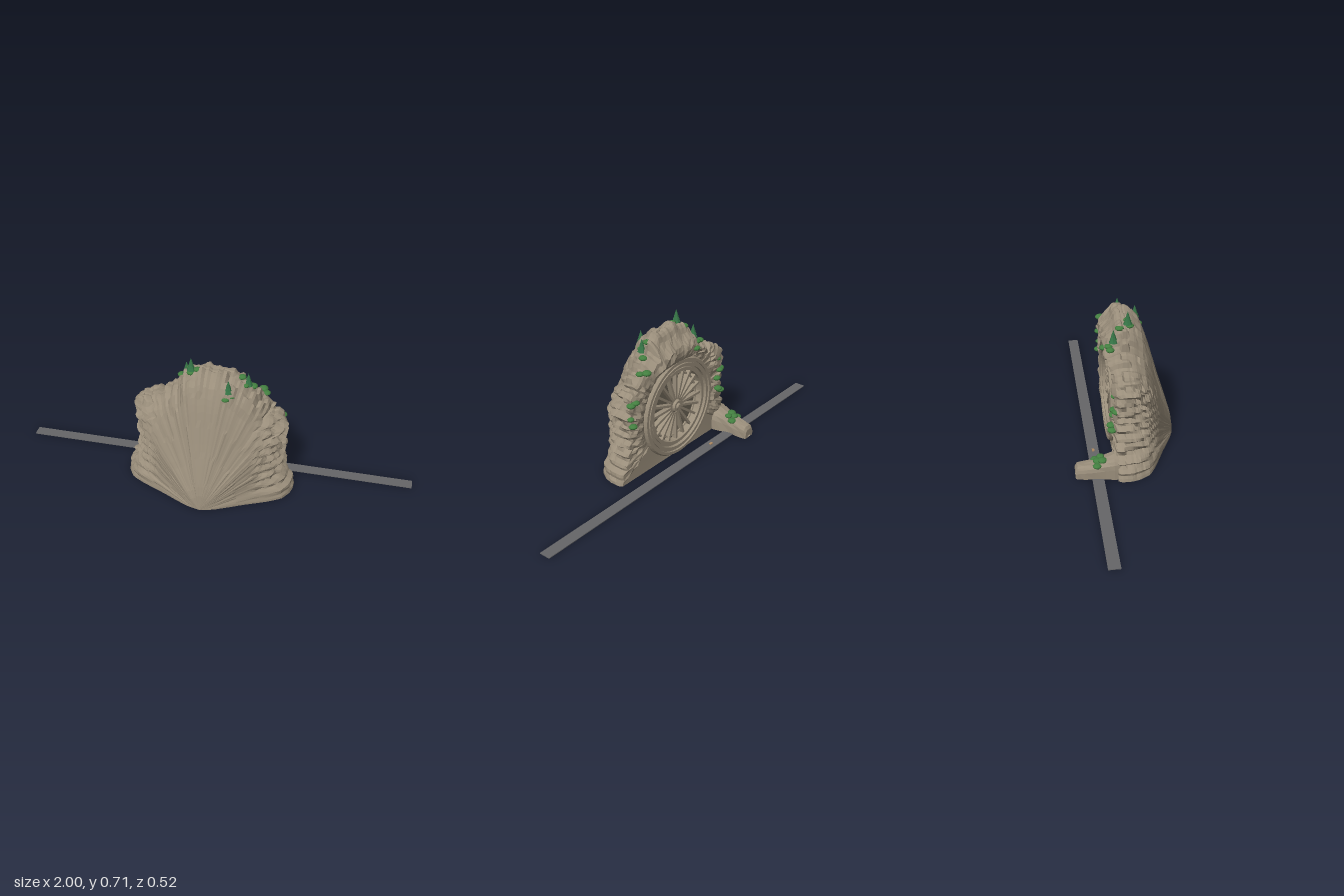
import * as THREE from 'three';

const material = (name, color, side = THREE.FrontSide) => {
  const m = new THREE.MeshStandardMaterial({ color, side, flatShading: true });
  m.name = name;
  return m;
};
const hash = (a, b = 0) => {
  const s = Math.sin(a * 127.1 + b * 311.7) * 43758.5453;
  return s - Math.floor(s) - 0.5;
};
const smooth = THREE.MathUtils.smoothstep;

// Piecewise-linear lookup in a list of [position, value] pairs
function lookup(table, x) {
  let k = 0;
  while (k < table.length - 2 && x > table[k + 1][0]) k++;
  const [[x0, v0], [x1, v1]] = [table[k], table[k + 1]];
  return v0 + ((v1 - v0) * (x - x0)) / (x1 - x0);
}

// Faceted surface through a grid of points
function gridSurface(rows, cols, point) {
  const pos = [];
  for (let i = 0; i < rows; i++) {
    for (let j = 0; j < cols; j++) {
      const a = point(i, j), b = point(i + 1, j), c = point(i + 1, j + 1), d = point(i, j + 1);
      pos.push(...a, ...d, ...c, ...a, ...c, ...b);
    }
  }
  const g = new THREE.BufferGeometry();
  g.setAttribute('position', new THREE.Float32BufferAttribute(pos, 3));
  g.computeVertexNormals();
  return g;
}

// Mountain skyline from the left foot over the summit to the right foot
const COLS = 120, ROWS = 30;
const skyline = new THREE.SplineCurve([
  [0.42, 0], [0.415, 0.04], [0.385, 0.1], [0.375, 0.2], [0.37, 0.3], [0.365, 0.39], [0.33, 0.45],
  [0.26, 0.51], [0.22, 0.56], [0.17, 0.61], [0.12, 0.655], [0.05, 0.668], [-0.04, 0.665], [-0.12, 0.63],
  [-0.16, 0.56], [-0.22, 0.51], [-0.31, 0.47], [-0.37, 0.42], [-0.37, 0.3], [-0.375, 0.2],
  [-0.39, 0.11], [-0.415, 0.06], [-0.425, 0],
].map(([x, y]) => new THREE.Vector2(x, y))).getSpacedPoints(COLS);

// Scale of the skyline at each depth
const taper = [[-0.065, 0.975], [-0.05, 1], [0, 1], [0.04, 0.975], [0.09, 0.9], [0.125, 0.76], [0.15, 0.63],
  [0.18, 0.47], [0.21, 0.33], [0.24, 0.18], [0.255, 0.08], [0.26, 0]];

function mountainPoint(i, j) {
  const o = skyline[j];
  const u = i / ROWS;
  let z = -0.065 + 0.325 * u;
  const k = lookup(taper, z);
  const low = Math.min(1, Math.max(0, o.y) * 14);
  const rough = 0.045 * hash(Math.floor(j / 2), Math.floor(i / 4)) + 0.02 * hash(j, 7);
  const s = k * (1 + rough * low);
  let x = o.x * s;
  const y = Math.max(0, o.y * s);
  // horizontal rock layers on the flanks
  const flank = smooth(Math.abs(x), 0.2, 0.32) * Math.min(1, y * 14) * (1 - smooth(y, 0.42, 0.52));
  x -= Math.sign(x) * flank * 0.026 * (Math.abs(Math.sin(y * 66)) ** 3 + 0.5 * hash(Math.floor(y * 21)));
  z += 0.03 * smooth(y, 0.5, 0.66) * (1 - smooth(u, 0, 0.3));
  return [x, y, z];
}

const WHEEL_Y = 0.256;

// Rocky back face between the wheel opening and the skyline
function backGeometry() {
  const FLOOR = 24, STEPS = 6;
  const loop = skyline.map((_, j) => mountainPoint(0, j));
  const right = loop[COLS], left = loop[0];
  for (let n = 1; n <= FLOOR; n++) {
    const t = n / FLOOR;
    loop.push([right[0] + (left[0] - right[0]) * t, 0, right[2]]);
  }
  const last = loop.length - 1;
  return gridSurface(STEPS, last, (i, jRaw) => {
    const j = jRaw === last ? 0 : jRaw;
    const p = loop[j];
    const t = i / STEPS;
    const a = Math.atan2(p[1] - WHEEL_Y, p[0]);
    const hx = 0.25 * Math.cos(a), hy = WHEEL_Y + 0.25 * Math.sin(a);
    const x = hx + (p[0] - hx) * t, y = hy + (p[1] - hy) * t;
    const mid = Math.sin(Math.PI * t);
    const brow = smooth(y, 0.47, 0.53) * (1 - smooth(y, 0.57, 0.62)) * (1 - smooth(Math.abs(x), 0.15, 0.3));
    const bump = p[1] > 0.01 ? mid * (0.01 + 0.022 * hash(Math.floor(j / 2), i)) : 0;
    return [x, y, -0.062 + (p[2] + 0.062) * t - bump - 0.032 * brow * (t < 1 ? 1 : 0)];
  });
}

// Flat underside
function baseGeometry() {
  const pts = [];
  for (let i = 0; i <= ROWS; i++) {
    const [x, , z] = mountainPoint(i, 0);
    pts.push(new THREE.Vector2(x, z));
  }
  for (let i = ROWS - 1; i >= 0; i--) {
    const [x, , z] = mountainPoint(i, COLS);
    pts.push(new THREE.Vector2(x, z));
  }
  return new THREE.ShapeGeometry(new THREE.Shape(pts)).rotateX(Math.PI / 2);
}

// Low spur of rock: [z, half width, height, centre x]
function spurGeometry() {
  const sections = [[-0.26, 0.01, 0.01, -0.34], [-0.26, 0.03, 0.045, -0.34], [-0.25, 0.036, 0.062, -0.34],
    [-0.22, 0.04, 0.068, -0.342], [-0.17, 0.042, 0.078, -0.345], [-0.12, 0.05, 0.095, -0.345],
    [-0.08, 0.058, 0.107, -0.345], [-0.04, 0.06, 0.11, -0.34]];
  const N = 10;
  return gridSurface(sections.length - 1, N + 1, (i, j) => {
    const [z, w, h, cx] = sections[i];
    const a = (Math.PI * (j % (N + 1))) / N;
    const r = 1 + 0.12 * hash(j % (N + 1), i);
    const c = Math.cos(a), s = Math.sin(a);
    return [cx + w * Math.sign(c) * Math.abs(c) ** 0.6 * r, h * s ** 0.6 * (i > 1 ? Math.min(r, 1) : 1), z];
  });
}

export function createModel() {
  const model = new THREE.Group();
  const rock = material('rock', 0x9a8e7b, THREE.DoubleSide);
  const darkRock = material('dark rock', 0x6c6355);
  const road = material('road grey', 0x666668);
  const leaf = material('bush green', 0x437f40);
  const pine = material('pine green', 0x357345);
  const bark = material('bark brown', 0x5f452e);
  const tan = material('tan', 0xb08a62);

  const add = (parent, name, geometry, mat, x = 0, y = 0, z = 0) => {
    const mesh = new THREE.Mesh(geometry, mat);
    mesh.name = name;
    mesh.position.set(x, y, z);
    parent.add(mesh);
    return mesh;
  };

  // Mountain
  add(model, 'mountainShell', gridSurface(ROWS, COLS, mountainPoint), rock);
  add(model, 'mountainBack', backGeometry(), rock);
  add(model, 'mountainBase', baseGeometry(), rock);
  add(model, 'rockSpur', spurGeometry(), rock);

  // Carved wheel, facing the back
  const wheel = new THREE.Group();
  wheel.name = 'carvedWheel';
  wheel.position.y = WHEEL_Y;
  model.add(wheel);
  const steps = [[0.255, 0.04], [0.255, 0.07], [0.248, 0.08], [0.234, 0.08], [0.234, 0.07], [0.224, 0.07],
    [0.224, 0.078], [0.21, 0.078], [0.21, 0.062], [0.2, 0.062], [0.2, 0.07], [0.184, 0.07], [0.184, 0.03]];
  const rings = new THREE.LatheGeometry(steps.map(([r, d]) => new THREE.Vector2(r, d)), 64);
  add(wheel, 'wheelRings', rings.rotateX(-Math.PI / 2), rock);
  add(wheel, 'wheelRecess', new THREE.CircleGeometry(0.186, 48).rotateY(Math.PI), darkRock, 0, 0, -0.034);
  add(wheel, 'innerRing', new THREE.TorusGeometry(0.165, 0.006, 5, 48), rock, 0, 0, -0.042);
  for (let n = 0; n < 20; n++) {
    const spoke = new THREE.BoxGeometry(0.15, 0.012, 0.024).translate(0.11, 0, -0.046);
    add(wheel, 'spoke', spoke, rock).rotation.z = (n * Math.PI) / 10;
  }
  add(wheel, 'hub', new THREE.CylinderGeometry(0.028, 0.042, 0.035, 20).rotateX(-Math.PI / 2), rock, 0, 0, -0.05);
  add(wheel, 'hubCap', new THREE.CylinderGeometry(0.012, 0.018, 0.01, 12).rotateX(-Math.PI / 2), rock, 0, 0, -0.071);

  // Road strip with a small marker
  add(model, 'road', new THREE.BoxGeometry(2, 0.004, 0.055), road, 0, 0.002, -0.157);
  add(model, 'roadMarker', new THREE.BoxGeometry(0.018, 0.005, 0.012), tan, -0.155, 0.006, -0.157);

  // Pines
  for (const [x, y, z] of [[-0.09, 0.635, 0.02], [0.1, 0.575, 0.08], [0.18, 0.58, 0.005], [-0.13, 0.565, -0.052]]) {
    const tree = new THREE.Group();
    tree.name = 'pineTree';
    tree.position.set(x, y, z);
    model.add(tree);
    add(tree, 'trunk', new THREE.CylinderGeometry(0.004, 0.005, 0.03, 6), bark, 0, 0.01, 0);
    for (let n = 0; n < 3; n++) {
      add(tree, 'branches', new THREE.ConeGeometry(0.022 - 0.005 * n, 0.036, 7), pine, 0, 0.032 + 0.014 * n, 0);
    }
  }

  // Bushes
  const bushes = [
    [0.09, 0.56, 0.095], [0.115, 0.57, 0.08], [0.2, 0.575, -0.02], [0.15, 0.632, 0.0], [0.17, 0.6, 0.02],
    [-0.06, 0.655, 0.02], [-0.1, 0.635, -0.02], [-0.09, 0.64, 0.03], [-0.16, 0.555, -0.07], [-0.1, 0.54, -0.095],
    [-0.13, 0.56, -0.075], [0.26, 0.525, -0.05], [0.24, 0.53, -0.075], [0.34, 0.4, -0.065], [0.35, 0.335, -0.07],
    [0.32, 0.41, -0.075], [0.34, 0.295, -0.075], [-0.31, 0.4, -0.07], [-0.32, 0.335, -0.075], [-0.3, 0.295, -0.075],
    [-0.32, 0.225, -0.083], [-0.3, 0.24, -0.085], [-0.34, 0.335, -0.065],
    [-0.36, 0.088, -0.135], [-0.325, 0.086, -0.14], [-0.35, 0.08, -0.155], [-0.32, 0.068, -0.165], [-0.375, 0.068, -0.16],
  ];
  bushes.forEach(([x, y, z], n) => {
    const r = 0.02 + 0.006 * hash(n, 3);
    const bush = new THREE.IcosahedronGeometry(1, 1).scale(r, r * 0.58, r);
    add(model, 'bush', bush, leaf, x, y, z).rotation.y = n;
  });

  return model;
}
